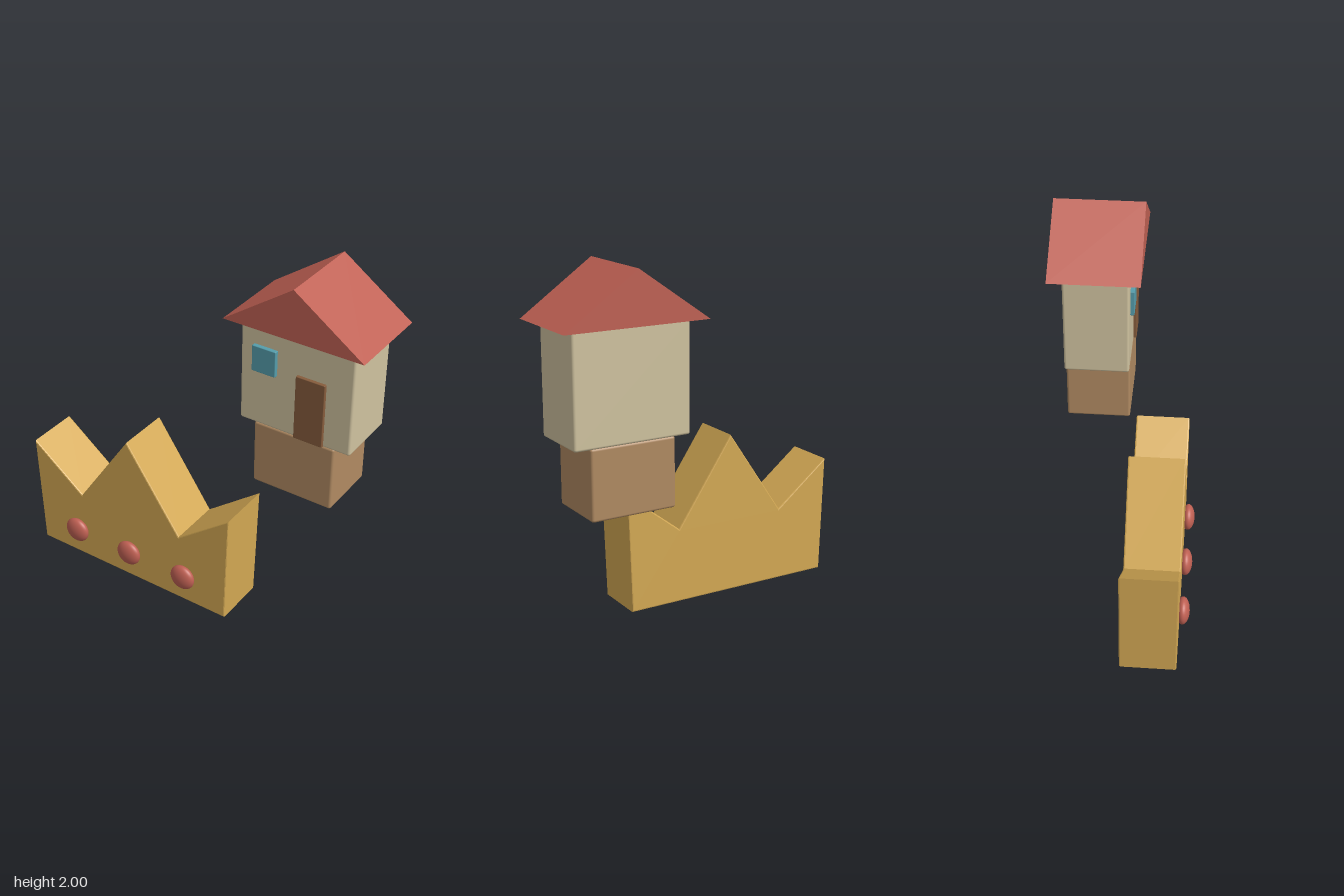
import * as THREE from 'three';
import { RoundedBoxGeometry } from 'three/addons/geometries/RoundedBoxGeometry.js';

const paint = (name, color) => {
  const m = new THREE.MeshStandardMaterial({ color });
  m.name = name;
  return m;
};

export function createModel() {
  const gold = paint('gold', 0xd4a954);
  const red = paint('brick red', 0xbf6053);
  const cream = paint('cream', 0xcfc29f);
  const tan = paint('tan', 0xb08a62);
  const brown = paint('dark brown', 0x865c3c);
  const blue = paint('window blue', 0x559dab);

  const model = new THREE.Group();
  const add = (parent, name, geometry, material) => {
    const mesh = new THREE.Mesh(geometry, material);
    mesh.name = name;
    parent.add(mesh);
    return mesh;
  };

  // Softened block given by its min and max corners
  const block = (parent, name, material, [x0, y0, z0], [x1, y1, z1], radius) => {
    const g = new RoundedBoxGeometry(x1 - x0, y1 - y0, z1 - z0, 3, radius);
    g.translate((x0 + x1) / 2, (y0 + y1) / 2, (z0 + z1) / 2);
    return add(parent, name, g, material);
  };

  // Outline in x and y, extruded from z0 to z1 with an inset bevel
  const prism = (points, z0, z1, bevel) => {
    const shape = new THREE.Shape(points.map(([x, y]) => new THREE.Vector2(x, y)));
    const g = new THREE.ExtrudeGeometry(shape, {
      depth: z1 - z0 - 2 * bevel,
      bevelEnabled: bevel > 0,
      bevelSize: bevel,
      bevelThickness: bevel,
      bevelOffset: -bevel,
      bevelSegments: 2,
    });
    return g.translate(0, 0, z0 + bevel);
  };

  // Crown with three points
  const crown = new THREE.Group();
  crown.name = 'crown';
  model.add(crown);
  add(crown, 'crownBody', prism([
    [-0.937, 0], [0.352, 0], [0.375, 0.69], [0.047, 0.435],
    [-0.293, 0.935], [-0.633, 0.435], [-0.96, 0.69],
  ], 0.05, 0.36, 0.008), gold);

  // Flattened gems along the crown's front
  for (const x of [-0.669, -0.293, 0.083]) {
    const gem = add(crown, 'gem', new THREE.SphereGeometry(0.076, 32, 20), red);
    gem.scale.z = 0.5;
    gem.position.set(x, 0.178, 0.378);
  }

  // House on a block base
  const house = new THREE.Group();
  house.name = 'house';
  model.add(house);
  block(house, 'base', tan, [0.306, 0.73, -0.347], [0.79, 1.115, 0.015], 0.014);
  block(house, 'walls', cream, [0.216, 1.11, -0.347], [0.88, 1.716, 0.015], 0.014);
  block(house, 'door', brown, [0.555, 1.115, 0], [0.725, 1.49, 0.033], 0.004);
  block(house, 'window', blue, [0.295, 1.44, 0], [0.436, 1.59, 0.038], 0.004);
  add(house, 'roof', prism([[0.143, 1.716], [0.956, 1.716], [0.55, 2]], -0.42, 0.08, 0), red);

  return model;
}
